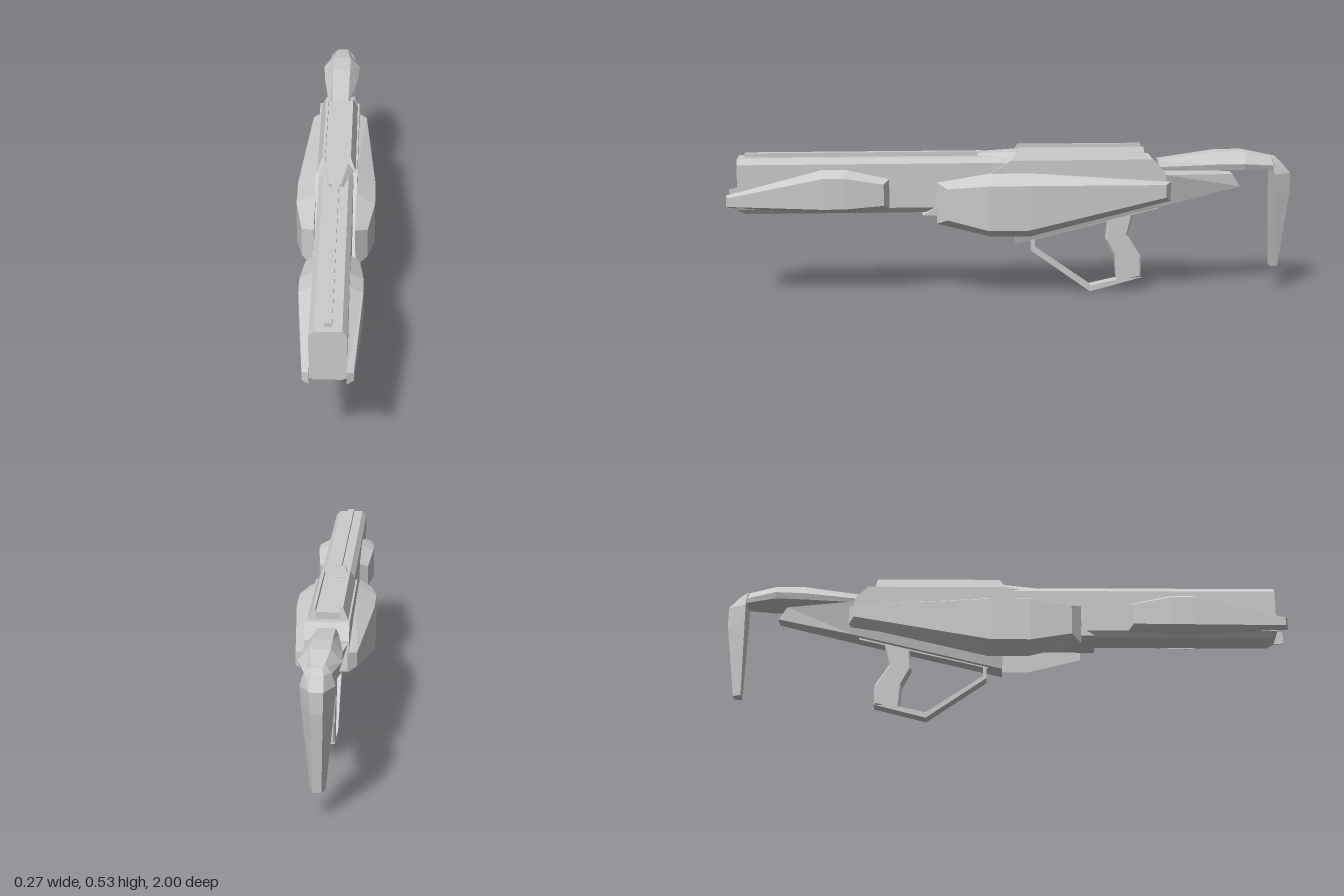
import * as THREE from 'three';

const material = new THREE.MeshStandardMaterial({ color: 0xcccccc, flatShading: true, side: THREE.DoubleSide });

function addMesh(group, name, geometry) {
  const mesh = new THREE.Mesh(geometry, material);
  mesh.name = name;
  group.add(mesh);
  return mesh;
}

// Skin through a row of equal-length convex rings of [x, y, z], with end caps
function loft(rings) {
  const tris = [];
  const n = rings[0].length;
  for (let i = 0; i < rings.length - 1; i++) {
    for (let j = 0; j < n; j++) {
      const k = (j + 1) % n;
      const [a, b, c, d] = [rings[i][j], rings[i][k], rings[i + 1][k], rings[i + 1][j]];
      tris.push([a, b, c], [a, c, d]);
    }
  }
  const first = rings[0], last = rings[rings.length - 1];
  for (let j = 1; j < n - 1; j++) {
    tris.push([first[0], first[j + 1], first[j]], [last[0], last[j], last[j + 1]]);
  }
  // Signed volume tells whether the faces point outwards
  const volume = tris.reduce((sum, [a, b, c]) => sum
    + a[0] * (b[1] * c[2] - b[2] * c[1])
    + a[1] * (b[2] * c[0] - b[0] * c[2])
    + a[2] * (b[0] * c[1] - b[1] * c[0]), 0);
  if (volume < 0) tris.forEach((t) => t.reverse());
  const geometry = new THREE.BufferGeometry();
  geometry.setAttribute('position', new THREE.Float32BufferAttribute(tris.flat(2), 3));
  geometry.computeVertexNormals();
  return geometry;
}

// Symmetric ring from its +x half, listed top to bottom
function ring(half) {
  return [...half, ...half.slice().reverse().map(([x, y, z]) => [-x, y, z])];
}

// Side outline of [z, y] points extruded across x
function slab(points, halfWidth, bevel = 0) {
  const shape = new THREE.Shape(points.map(([z, y]) => new THREE.Vector2(-z, y)));
  const depth = 2 * (halfWidth - bevel);
  const geometry = new THREE.ExtrudeGeometry(shape, {
    depth, bevelEnabled: bevel > 0, bevelThickness: bevel, bevelSize: bevel, bevelOffset: -bevel, bevelSegments: 1,
  });
  return geometry.translate(0, 0, -depth / 2).rotateY(Math.PI / 2);
}

// Side pod from stations: inner z, outer z, outer x, top, outer top, outer bottom, bottom
function pod(innerX, side, stations) {
  return loft(stations.map(([zi, zo, x, top, outerTop, outerBottom, bottom]) => [
    [side * innerX, top, zi], [side * x, outerTop, zo],
    [side * x, outerBottom, zo], [side * innerX, bottom, zi],
  ]));
}

export function createModel() {
  const model = new THREE.Group();
  model.name = 'futuristicRifle';

  // Barrel housing with chamfered edges
  const barrelRing = (z, bottom) => ring([
    [0.044, 0.497, z], [0.06, 0.478, z], [0.06, 0.322, z], [0.044, bottom, z],
  ]);
  addMesh(model, 'barrelHousing', loft([barrelRing(0.955, 0.315), barrelRing(0.93, 0.302), barrelRing(-0.1, 0.302)]));
  addMesh(model, 'barrelRail', new THREE.BoxGeometry(0.024, 0.025, 0.83)).position.set(0, 0.4995, 0.515);

  // Receiver with raked front, and tapered hull running back into the stock
  addMesh(model, 'receiver', slab([
    [0.31, 0.295], [0, 0.487], [-0.5, 0.487], [-0.545, 0.44], [-0.56, 0.34], [-0.3, 0.295],
  ], 0.073));
  addMesh(model, 'lowerHull', loft([
    ring([[0.073, 0.295, -0.02], [0.037, 0.182, -0.02]]),
    ring([[0.069, 0.43, -0.55], [0.037, 0.314, -0.55]]),
    ring([[0.03, 0.425, -0.79], [0.025, 0.379, -0.82]]),
  ]));

  // Top cover: plate, pointed nose and two side rails
  addMesh(model, 'topPlate', new THREE.BoxGeometry(0.1, 0.03, 0.45)).position.set(0, 0.497, -0.245);
  addMesh(model, 'topNose', loft([
    ring([[0.02, 0.508, 0.115], [0.03, 0.493, 0.115]]),
    ring([[0.04, 0.513, -0.02], [0.066, 0.487, -0.02]]),
    ring([[0.04, 0.513, -0.06], [0.066, 0.487, -0.06]]),
  ]));

  for (const [label, s] of [['left', 1], ['right', -1]]) {
    const railRing = (zTop, zBottom) => [
      [s * 0.04, 0.528, zTop], [s * 0.05, 0.528, zTop], [s * 0.067, 0.487, zBottom], [s * 0.04, 0.487, zBottom],
    ];
    addMesh(model, label + 'TopRail', loft([railRing(-0.03, -0.005), railRing(-0.468, -0.475)]));

    // Forward pods beside the muzzle
    addMesh(model, label + 'FrontPod', pod(0.058, s, [
      [0.995, 0.985, 0.08, 0.372, 0.366, 0.335, 0.328],
      [0.66, 0.66, 0.104, 0.46, 0.434, 0.326, 0.306],
      [0.58, 0.58, 0.104, 0.46, 0.434, 0.326, 0.306],
      [0.425, 0.445, 0.09, 0.425, 0.41, 0.335, 0.318],
    ]));

    // Large pods beside the receiver
    addMesh(model, label + 'MainPod', pod(0.07, s, [
      [0.26, 0.225, 0.113, 0.412, 0.395, 0.285, 0.265],
      [0.07, 0.08, 0.137, 0.443, 0.408, 0.25, 0.216],
      [-0.07, -0.06, 0.137, 0.443, 0.408, 0.25, 0.216],
      [-0.565, -0.545, 0.1, 0.407, 0.4, 0.355, 0.338],
    ]));
  }

  // Stock arm, faceted and widest near its rear third
  const armRing = ([z, top, xTop, xMid, bottom]) => ring([
    [xTop, top, z], [xMid, bottom + (top - bottom) * 0.35, z], [xMid * 0.9, bottom, z],
  ]);
  addMesh(model, 'stockArm', loft([
    [-0.525, 0.476, 0.03, 0.04, 0.442],
    [-0.73, 0.505, 0.033, 0.064, 0.443],
    [-0.83, 0.506, 0.033, 0.069, 0.445],
    [-0.945, 0.483, 0.018, 0.035, 0.44],
  ].map(armRing)));

  // Shoulder hook: tapers downwards with a narrow back face
  const hookRing = ([y, zFront, zBack, xFront, xBack]) => [
    [xFront, y, zFront], [xBack, y, zBack], [-xBack, y, zBack], [-xFront, y, zFront],
  ];
  addMesh(model, 'shoulderHook', loft([
    [0.484, -0.93, -0.945, 0.028, 0.016],
    [0.466, -0.934, -0.965, 0.042, 0.02],
    [0.425, -0.936, -1.0, 0.055, 0.022],
    [0.355, -0.936, -1.0, 0.051, 0.02],
    [0.085, -0.937, -0.965, 0.024, 0.013],
  ].map(hookRing)));

  // Grip, trigger guard and the strip that carries them
  addMesh(model, 'grip', slab([
    [-0.35, 0.28], [-0.342, 0.19], [-0.375, 0.125], [-0.382, 0.03],
    [-0.47, 0.052], [-0.47, 0.125], [-0.42, 0.205], [-0.44, 0.29],
  ], 0.022, 0.006));
  addMesh(model, 'triggerGuard', slab([
    [-0.075, 0.205], [-0.075, 0.153], [-0.287, 0.001], [-0.47, 0.05],
    [-0.39, 0.045], [-0.287, 0.022], [-0.088, 0.162], [-0.088, 0.205],
  ], 0.022));
  addMesh(model, 'underStrip', slab([
    [-0.07, 0.215], [-0.07, 0.19], [-0.53, 0.302], [-0.53, 0.327],
  ], 0.022));

  return model;
}
